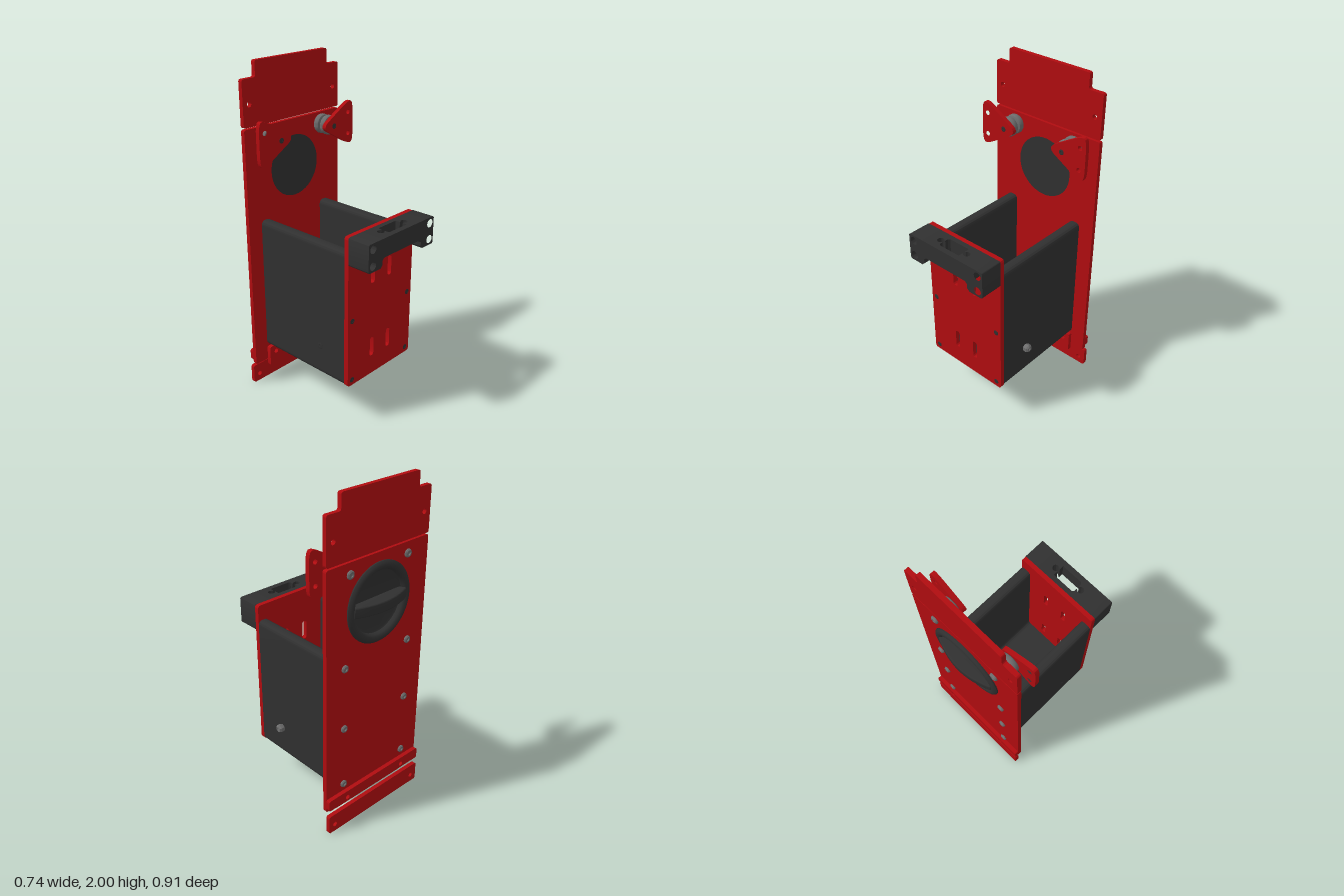
import * as THREE from 'three';
import { toCreasedNormals } from 'three/addons/utils/BufferGeometryUtils.js';

const red = new THREE.MeshStandardMaterial({ color: 0xb00c10 });
const dark = new THREE.MeshStandardMaterial({ color: 0x303030 });
const grey = new THREE.MeshStandardMaterial({ color: 0x6c6c6c });

// Closed outline with every corner rounded by up to r
function rounded(points, r, shape = new THREE.Shape()) {
  const v = points.map(([x, y]) => new THREE.Vector2(x, y));
  v.forEach((p, i) => {
    const a = v[(i + v.length - 1) % v.length], b = v[(i + 1) % v.length];
    const toward = (q) => p.clone().lerp(q, Math.min(0.5, r / p.distanceTo(q)));
    const s = toward(a), e = toward(b);
    if (i) shape.lineTo(s.x, s.y); else shape.moveTo(s.x, s.y);
    shape.quadraticCurveTo(p.x, p.y, e.x, e.y);
  });
  shape.closePath();
  return shape;
}
const rect = (x0, y0, x1, y1) => [[x0, y0], [x1, y0], [x1, y1], [x0, y1]];
const circle = (x, y, r) => new THREE.Path().absarc(x, y, r, 0, Math.PI * 2, true);
const pair = (x, y, r) => [circle(x, y, r), circle(-x, y, r)];

export function createModel() {
  const model = new THREE.Group();

  function add(name, geometry, material, parent = model) {
    const mesh = new THREE.Mesh(toCreasedNormals(geometry, 0.6), material);
    mesh.name = name;
    parent.add(mesh);
    return mesh;
  }
  // Flat part spanning z0..z1
  function plate(name, shape, holes, z0, z1, material) {
    shape.holes.push(...holes);
    const g = new THREE.ExtrudeGeometry(shape, { depth: z1 - z0, bevelEnabled: false, curveSegments: 20 });
    return add(name, g.translate(0, 0, z0), material);
  }
  // Turned part along -z, profile given as [radius, depth]
  function turned(name, profile, x, y, z, material, segments = 32) {
    const g = new THREE.LatheGeometry(profile.map(([r, d]) => new THREE.Vector2(r, d)), segments);
    g.rotateX(-Math.PI / 2);
    const mesh = add(name, g, material);
    mesh.position.set(x, y, z);
    return mesh;
  }
  const screwHead = (r, h) => [[0, 0], [r, 0], [r, h * 0.5], [r * 0.75, h], [r * 0.45, h], [r * 0.4, h * 0.5], [0, h * 0.5]];

  // Back panel in two sections
  plate('upperPanel', rounded([[-0.37, 1.645], [0.37, 1.645], [0.37, 1.91], [0.275, 1.91], [0.275, 2],
    [-0.275, 2], [-0.275, 1.91], [-0.37, 1.91]], 0.014), pair(0.325, 1.77, 0.015), -0.39, -0.364, red);
  plate('mainPanel', rounded(rect(-0.37, 0.145, 0.37, 1.635), 0.014),
    [circle(0, 1.355, 0.184), ...pair(0.225, 0.19, 0.015)], -0.39, -0.364, red);

  // Lower strips and the plate joining them
  plate('bottomStrip', rounded(rect(-0.37, 0, 0.37, 0.12), 0.014), pair(0.325, 0.048, 0.015), -0.415, -0.39, red);
  plate('clampStrip', rounded(rect(-0.37, 0.165, 0.37, 0.235), 0.014), pair(0.225, 0.19, 0.015), -0.415, -0.39, red);
  plate('joiningPlate', rounded(rect(-0.275, 0.1, 0.275, 0.235), 0.014), pair(0.225, 0.19, 0.015), -0.364, -0.338, red);

  // Open-topped box body with thick walls
  plate('boxBody', rounded([[-0.275, 0.25], [0.275, 0.25], [0.275, 1.08], [0.205, 1.08], [0.205, 0.3],
    [-0.205, 0.3], [-0.205, 1.08], [-0.275, 1.08]], 0.03), [], -0.364, 0.287, dark);

  // Front cover with four slots
  const slots = [];
  for (const x of [-0.072, 0.07]) for (const y of [0.37, 0.84])
    slots.push(rounded(rect(x - 0.016, y, x + 0.016, y + 0.12), 0.016, new THREE.Path()));
  plate('frontCover', rounded(rect(-0.275, 0.25, 0.275, 1.175), 0.02), slots, 0.287, 0.315, red);

  // Handle bar with a keyhole-ended slot through its height
  const bar = new THREE.Shape().setFromPoints(rect(-0.165, 0.315, 0.165, 0.455).map(p => new THREE.Vector2(...p)));
  const slot = new THREE.Path();
  slot.moveTo(-0.065, 0.345);
  slot.lineTo(0.075, 0.345);
  slot.lineTo(0.075, 0.374);
  slot.absarc(0.098, 0.384, 0.02, -Math.PI * 0.82, Math.PI * 0.82, false);
  slot.lineTo(0.075, 0.394);
  slot.lineTo(0.075, 0.422);
  slot.lineTo(-0.065, 0.422);
  slot.lineTo(-0.075, 0.412);
  slot.lineTo(-0.075, 0.394);
  slot.absarc(-0.098, 0.384, 0.02, Math.PI * 0.18, Math.PI * 1.82, false);
  slot.lineTo(-0.075, 0.374);
  slot.lineTo(-0.075, 0.355);
  slot.closePath();
  bar.holes.push(slot);
  const barGeometry = new THREE.ExtrudeGeometry(bar, { depth: 0.11, bevelEnabled: false, curveSegments: 20 });
  add('handleBar', barGeometry.rotateX(Math.PI / 2).translate(0, 1.175, 0), dark);

  // Arched grip across the rear dial
  const dialProfile = [[0, 0], [0.184, 0], [0.184, 0.027], [0.23, 0.027], [0.23, 0.034], [0.222, 0.043],
    [0.208, 0.048], [0.194, 0.045], [0.184, 0.036], [0.178, 0.018], [0.165, 0.012], [0, 0.012]];
  turned('rearDial', dialProfile, 0, 1.355, -0.364, dark, 64);
  const grip = new THREE.Shape();
  grip.moveTo(-0.186, 0.372);
  grip.lineTo(0.186, 0.372);
  grip.lineTo(0.186, 0.408);
  grip.quadraticCurveTo(0.09, 0.449, 0, 0.449);
  grip.quadraticCurveTo(-0.09, 0.449, -0.186, 0.408);
  const gripGeometry = new THREE.ExtrudeGeometry(grip, {
    depth: 0.044, bevelThickness: 0.008, bevelSize: 0.006, bevelSegments: 3, curveSegments: 16 });
  add('dialGrip', gripGeometry.rotateX(-Math.PI / 2).translate(0, 1.333, 0), dark);

  for (const s of [-1, 1]) {
    const side = s > 0 ? 'left' : 'right';

    // Handle end blocks
    const leg = new THREE.Shape();
    leg.moveTo(s * 0.165, 1.175);
    leg.lineTo(s * 0.262, 1.175);
    leg.quadraticCurveTo(s * 0.275, 1.175, s * 0.275, 1.162);
    leg.lineTo(s * 0.275, 1.025);
    leg.quadraticCurveTo(s * 0.275, 1.01, s * 0.26, 1.01);
    leg.lineTo(s * 0.18, 1.01);
    leg.lineTo(s * 0.165, 1.025);
    leg.closePath();
    plate(side + 'HandleEnd', leg, [circle(s * 0.24, 1.14, 0.024), circle(s * 0.24, 1.045, 0.024)], 0.315, 0.455, dark);
    const fillet = new THREE.Shape();
    fillet.moveTo(s * 0.165, 1.065);
    fillet.lineTo(s * 0.15, 1.065);
    fillet.lineTo(s * 0.165, 1.05);
    plate(side + 'HandleFillet', fillet, [], 0.315, 0.455, dark);

    // Screws through the rear panel and the front cover
    for (const y of [0.285, 0.665, 1.045]) {
      turned(side + 'RearScrew', screwHead(0.022, 0.013), s * 0.24, y, -0.39, grey, 24);
      const head = turned(side + 'FrontScrew', screwHead(0.016, 0.003), s * 0.24, y, 0.314, dark, 24);
      head.rotation.y = Math.PI;
    }

    // Roller bracket, a rounded triangle
    plate(side + 'RollerBracket', rounded([[s * 0.11, 1.572], [s * 0.335, 1.44], [s * 0.37, 1.452],
      [s * 0.37, 1.692], [s * 0.335, 1.704]], 0.065),
    [circle(s * 0.33, 1.635, 0.014), circle(s * 0.33, 1.505, 0.014)], -0.268, -0.242, red);

    // Roller pair, axle and its screw heads
    const wheel = [[0, 0], [0.046, 0], [0.054, 0.004], [0.058, 0.012], [0.058, 0.028], [0.054, 0.036], [0.046, 0.04], [0, 0.04]];
    for (const z of [-0.27, -0.32]) turned(side + 'Roller', wheel, s * 0.21, 1.57, z, grey, 40);
    turned(side + 'Axle', [[0, 0], [0.02, 0], [0.02, 0.15], [0, 0.15]], s * 0.21, 1.57, -0.245, grey, 20);
    turned(side + 'AxleRearScrew', screwHead(0.024, 0.013), s * 0.21, 1.57, -0.39, grey, 24);
    turned(side + 'AxleFrontScrew', screwHead(0.016, 0.003), s * 0.21, 1.57, -0.243, dark, 24).rotation.y = Math.PI;
  }

  // Hexagonal stud on one wall, small socket on the other
  const stud = turned('sideStud', [[0, 0], [0.022, 0], [0.026, 0.008], [0.026, 0.026], [0.018, 0.036], [0.01, 0.036],
    [0.008, 0.03], [0, 0.03]], 0.274, 0.435, 0.1, grey, 6);
  stud.rotation.y = -Math.PI / 2;
  const socket = turned('sideSocket', screwHead(0.02, 0.003), -0.274, 0.435, 0.1, dark, 20);
  socket.rotation.y = Math.PI / 2;

  return model;
}
